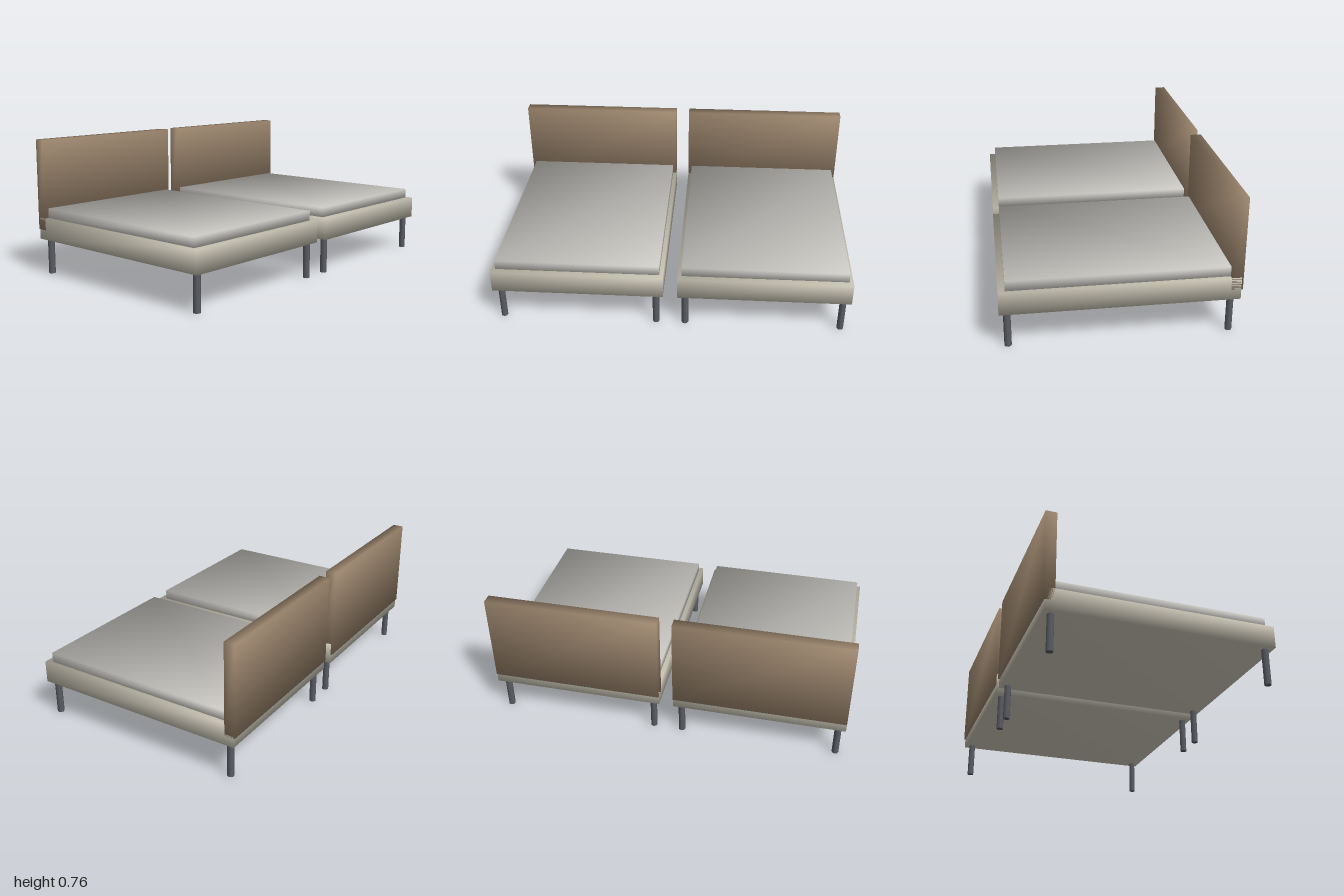
import * as THREE from 'three';

const material = (color) => new THREE.MeshStandardMaterial({ color });

// Box given by its min/max ranges, with soft normals shared at the corners
function softBox(name, mat, [x0, x1], [y0, y1], [z0, z1]) {
  const geo = new THREE.BoxGeometry(x1 - x0, y1 - y0, z1 - z0);
  const pos = geo.attributes.position;
  const n = new THREE.Vector3();
  for (let i = 0; i < pos.count; i++) {
    n.set(Math.sign(pos.getX(i)), Math.sign(pos.getY(i)), Math.sign(pos.getZ(i))).normalize();
    geo.attributes.normal.setXYZ(i, n.x, n.y, n.z);
  }
  const mesh = new THREE.Mesh(geo, mat);
  mesh.name = name;
  mesh.position.set((x0 + x1) / 2, (y0 + y1) / 2, (z0 + z1) / 2);
  return mesh;
}

export function createModel() {
  const model = new THREE.Group();
  model.name = 'twinBeds';

  const frameMat = material(0xc4bfb0);
  const mattressMat = material(0xcccac5);
  const headboardMat = material(0x9a846c);
  const legMat = material(0x5a5d64);
  const legGeo = new THREE.CylinderGeometry(0.019, 0.019, 0.2, 8);

  for (const side of [-1, 1]) {
    const bed = new THREE.Group();
    bed.name = side < 0 ? 'rightBed' : 'leftBed';
    bed.position.x = side * 0.52;

    // Base frame, inset mattress and headboard
    bed.add(softBox('frame', frameMat, [-0.48, 0.48], [0.2, 0.323], [-0.615, 0.623]));
    bed.add(softBox('mattress', mattressMat, [-0.458, 0.458], [0.32, 0.378], [-0.575, 0.586]));
    bed.add(softBox('headboard', headboardMat, [-0.48, 0.48], [0.255, 0.765], [-0.623, -0.562]));

    // Four legs set in from the corners
    for (const x of [-0.438, 0.438]) {
      for (const z of [-0.572, 0.582]) {
        const leg = new THREE.Mesh(legGeo, legMat);
        leg.name = z > 0 ? 'frontLeg' : 'backLeg';
        leg.position.set(x, 0.1, z);
        bed.add(leg);
      }
    }
    model.add(bed);
  }
  return model;
}
